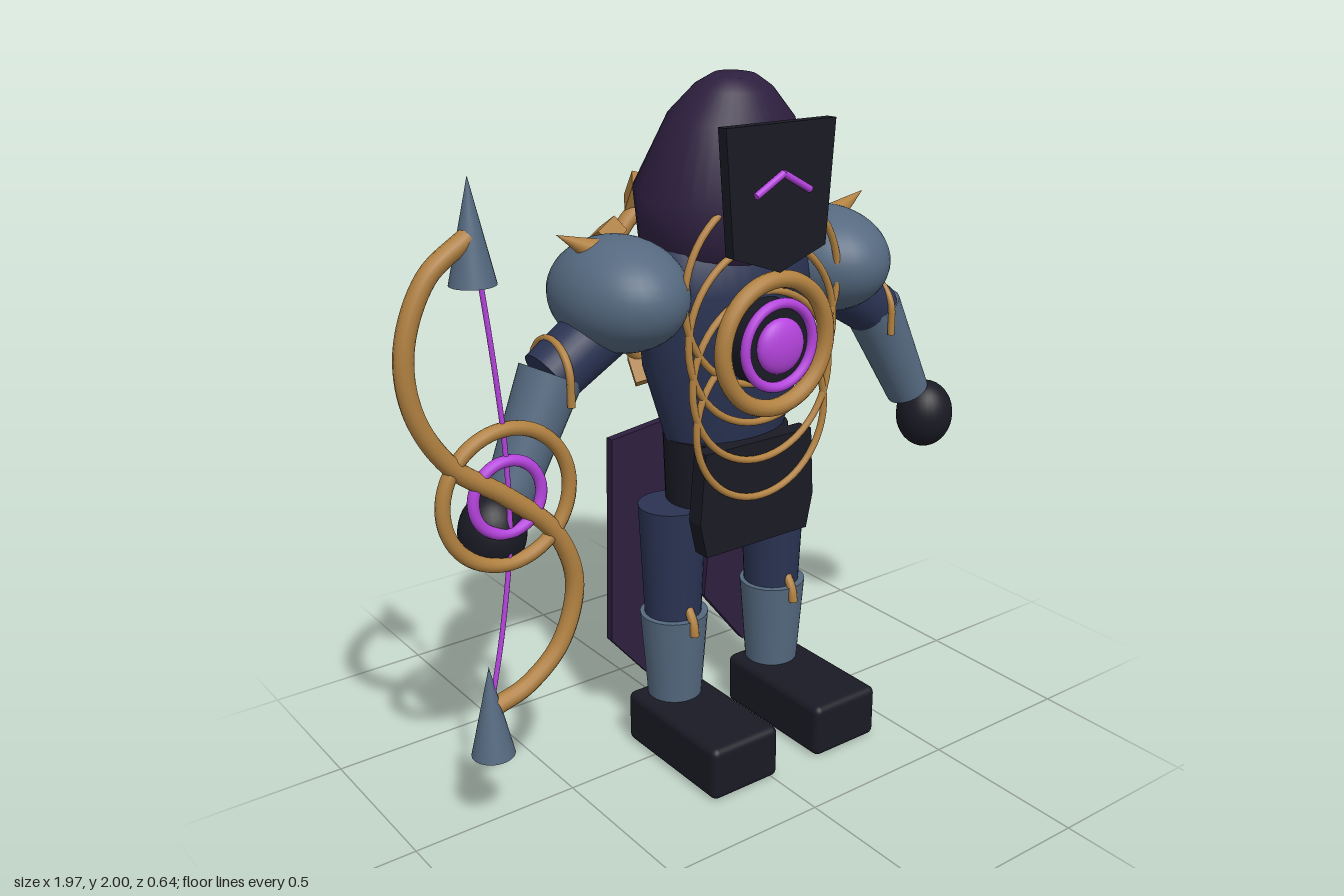
import * as THREE from 'three';
import { RoundedBoxGeometry } from 'three/addons/geometries/RoundedBoxGeometry.js';

const paint = (name, color) => {
  const m = new THREE.MeshStandardMaterial({ color });
  m.name = name;
  return m;
};

const V = (x, y, z = 0) => new THREE.Vector3(x, y, z);

export function createModel() {
  const navy = paint('navy cloth', 0x2a3353);
  const steel = paint('steel', 0x556980);
  const dark = paint('dark leather', 0x1a1a25);
  const plum = paint('plum cloth', 0x2d1f3f);
  const gold = paint('gold', 0xb08040);
  const glow = paint('violet glow', 0xb443dc);

  const model = new THREE.Group();
  model.name = 'hoodedArcher';
  const body = new THREE.Group();
  body.name = 'body';
  body.position.x = 0.095;
  model.add(body);

  const add = (name, geo, mat, pos = [0, 0, 0], parent = body) => {
    const m = new THREE.Mesh(geo, mat);
    m.name = name;
    m.position.set(...pos);
    parent.add(m);
    return m;
  };
  // tapered cylinder between two points, rA at a and rB at b
  const limb = (name, a, b, rA, rB, mat, parent = body) => {
    const d = b.clone().sub(a);
    const m = add(name, new THREE.CylinderGeometry(rB, rA, d.length(), 28), mat,
      a.clone().add(b).multiplyScalar(0.5).toArray(), parent);
    m.quaternion.setFromUnitVectors(V(0, 1, 0), d.normalize());
    return m;
  };
  const lathe = (pts) => new THREE.LatheGeometry(pts.map(p => new THREE.Vector2(...p)), 40);
  const plate = (pts, depth) => new THREE.ExtrudeGeometry(
    new THREE.Shape(pts.map(p => new THREE.Vector2(...p))), { depth, bevelEnabled: false });
  const ring = (r, t, arc = Math.PI * 2) => new THREE.TorusGeometry(r, t, 12, 56, arc);

  // torso and hips
  add('torso', lathe([[0, 0.9], [0.185, 0.9], [0.2, 0.98], [0.268, 1.2], [0.285, 1.42],
    [0.26, 1.54], [0.16, 1.62], [0, 1.63]]), navy, [0, 0, -0.05]).scale.z = 0.64;
  add('hips', new THREE.CylinderGeometry(0.2, 0.19, 0.315, 36), dark, [0, 0.8225, -0.045]).scale.z = 0.78;
  add('frontFlap', plate([[-0.193, 0.98], [-0.213, 0.77], [-0.19, 0.665], [0.182, 0.665],
    [0.205, 0.77], [0.193, 0.98]], 0.055), dark, [0, 0, 0.06]);

  // hood, leaning slightly forward
  const hood = add('hood', lathe([[0, -0.2], [0.21, -0.2], [0.25, -0.16], [0.275, -0.015],
    [0.187, 0.187], [0.115, 0.267], [0.065, 0.298], [0, 0.3]]), plum, [0, 1.7, -0.047]);
  hood.scale.z = 0.83;
  hood.rotation.x = 0.12;

  // face mask and its glowing chevron
  add('faceMask', plate([[-0.187, 1.888], [-0.16, 1.545], [0, 1.488], [0.16, 1.545],
    [0.187, 1.888]], 0.035), dark, [0, 0, 0.157]);
  const brow = new THREE.Group();
  brow.name = 'chevron';
  body.add(brow);
  for (const s of [-1, 1]) {
    limb('chevronBar', V(s * 0.093, 1.705, 0.2), V(0, 1.757, 0.2), 0.01, 0.01, glow, brow);
  }

  // chest emblem
  add('emblemDisc', new THREE.CylinderGeometry(0.125, 0.125, 0.11, 40), dark, [0, 1.283, 0.132]).rotation.x = Math.PI / 2;
  add('emblemRim', ring(0.183, 0.025), gold, [0, 1.283, 0.178]);
  add('emblemRing', ring(0.119, 0.015), glow, [0, 1.283, 0.194]);
  add('emblemCore', new THREE.SphereGeometry(0.08, 32, 20), glow, [0, 1.283, 0.198]).scale.z = 0.42;

  // overlapping hoops hanging down the chest
  for (let i = 0; i < 4; i++) {
    add('chestHoop', ring(0.271 - 0.013 * i, 0.0105), gold, [0, 1.43 - 0.127 * i, 0.123]);
  }

  // toothed halo on the back
  const halo = new THREE.Group();
  halo.name = 'backHalo';
  halo.position.set(0, 1.393, -0.265);
  body.add(halo);
  add('haloRing', ring(0.265, 0.025), gold, [0, 0, 0], halo);
  for (let i = 0; i < 12; i++) {
    const a = i * Math.PI / 6;
    const tooth = add('haloTooth', new THREE.BoxGeometry(0.078, 0.055, 0.085), gold,
      [0.302 * Math.cos(a), 0.302 * Math.sin(a), 0], halo);
    tooth.rotation.set(a, 0, a);
  }

  for (const s of [-1, 1]) {
    // shoulder with spike
    add('shoulder', new THREE.SphereGeometry(1, 36, 24), steel, [s * 0.365, 1.437, -0.052])
      .scale.set(0.18, 0.158, 0.228);
    limb('shoulderSpike', V(s * 0.42, 1.555, -0.07), V(s * 0.54, 1.615, -0.073), 0.036, 0, gold);

    // arm
    limb('upperArm', V(s * 0.34, 1.4, -0.055), V(s * 0.592, 1.238, -0.055), 0.095, 0.085, navy);
    limb('forearm', V(s * 0.582, 1.25, -0.055), V(s * 0.735, 0.95, -0.035), 0.09, 0.068, steel);
    add('hand', new THREE.SphereGeometry(1, 28, 20), dark, [s * 0.8, 0.863, -0.018])
      .scale.set(0.093, 0.11, 0.09);
    add('elbowBand', ring(0.098, 0.011, Math.PI), gold, [s * 0.578, 1.245, -0.06]).rotation.y = Math.PI / 2;
    for (const z of [0.038, -0.158]) {
      limb('elbowBandEnd', V(s * 0.578, 1.18, z), V(s * 0.578, 1.245, z), 0.011, 0.011, gold);
    }

    // leg
    limb('thigh', V(s * 0.19, 0.42, -0.055), V(s * 0.19, 0.78, -0.055), 0.085, 0.101, navy);
    limb('shin', V(s * 0.19, 0.14, -0.05), V(s * 0.19, 0.435, -0.05), 0.08, 0.102, steel);
    add('kneeBand', ring(0.106, 0.014, Math.PI), gold, [s * 0.19, 0.39, -0.052]).rotation.y = Math.PI / 2;
    add('boot', new RoundedBoxGeometry(0.238, 0.165, 0.44, 3, 0.022), dark, [s * 0.193, 0.0825, 0.092]);

    // coat tail
    const tail = [[0.305, 0.96], [0.322, 0.31], [0.19, 0.155], [0.03, 0.36], [0.1, 0.985]];
    add('coatTail', plate(tail.map(([x, y]) => [s * x, y]), 0.028), plum, [0, 0, -0.22]);
  }

  // bow held in the right hand
  const bow = new THREE.Group();
  bow.name = 'bow';
  bow.position.set(-0.697, 0.985, 0.06);
  model.add(bow);
  const tube = (pts, r) => new THREE.TubeGeometry(
    new THREE.CatmullRomCurve3(pts.map(p => V(...p))), 80, r, 12);
  add('bowLimbs', tube([[-0.073, 0.69], [-0.188, 0.605], [-0.258, 0.44], [-0.245, 0.275], [-0.155, 0.12],
    [0, 0], [0.138, -0.135], [0.192, -0.295], [0.14, -0.465], [0.03, -0.56], [-0.065, -0.59]], 0.026),
  gold, [0, 0, 0], bow);
  add('bowString', tube([[-0.055, 0.66], [-0.017, 0.33], [0, 0.12], [0, -0.12], [-0.035, -0.37],
    [-0.075, -0.56]], 0.007), glow, [0, 0, 0], bow);
  add('bowGuard', ring(0.186, 0.02), gold, [0, 0, 0], bow);
  add('bowGlowRing', ring(0.1, 0.016), glow, [0, 0, 0], bow);
  const tip = new THREE.ConeGeometry(0.06, 0.265, 28);
  add('bowTipUpper', tip, steel, [-0.063, 0.703, -0.005], bow);
  add('bowTipLower', tip, steel, [-0.08, -0.602, -0.005], bow);

  return model;
}
